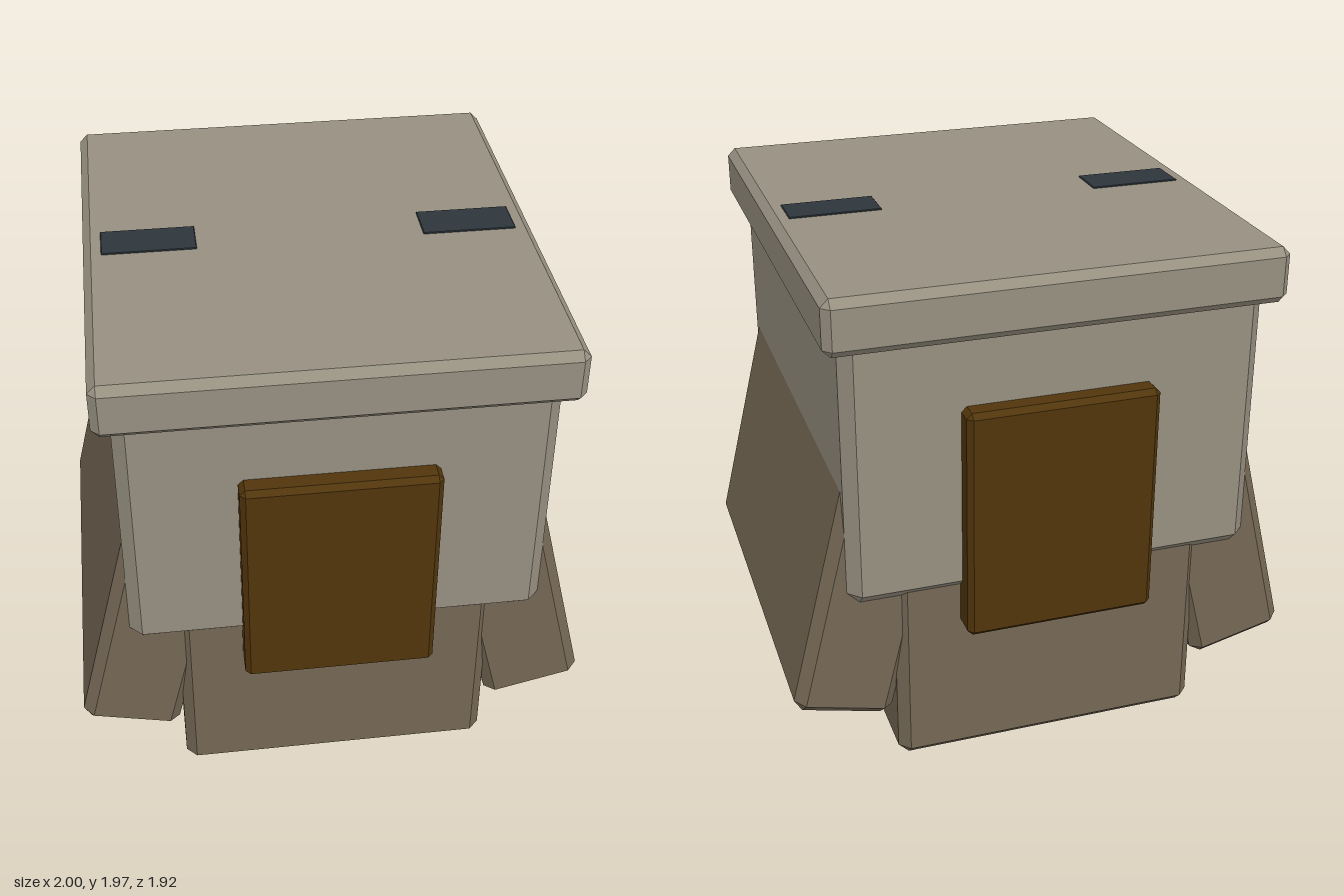
import * as THREE from 'three';
import { ConvexGeometry } from 'three/addons/geometries/ConvexGeometry.js';

const material = (name, color) => {
  const m = new THREE.MeshStandardMaterial({ color });
  m.name = name;
  return m;
};

// Box with flat chamfers on every edge
function chamferBox(w, h, d, c) {
  const points = [];
  for (const x of [-1, 1]) for (const y of [-1, 1]) for (const z of [-1, 1]) {
    for (let axis = 0; axis < 3; axis++) {
      const inset = [c, c, c];
      inset[axis] = 0;
      points.push(new THREE.Vector3(
        x * (w / 2 - inset[0]), y * (h / 2 - inset[1]), z * (d / 2 - inset[2])));
    }
  }
  return new ConvexGeometry(points);
}

export function createModel() {
  const model = new THREE.Group();
  model.name = 'chest';
  const stone = material('warm grey', 0x979081);
  const taupe = material('taupe', 0x756855);
  const brown = material('dark brown', 0x51350c);
  const slate = material('dark slate', 0x2d363c);

  const add = (name, mat, size, bevel, position) => {
    const mesh = new THREE.Mesh(chamferBox(...size, bevel), mat);
    mesh.name = name;
    mesh.position.set(...position);
    model.add(mesh);
    return mesh;
  };

  // Stacked core: base, body and overhanging lid
  add('base', taupe, [1.21, 0.9, 1.7], 0.04, [0, 0.45, 0]);
  add('body', stone, [1.574, 1.125, 1.76], 0.047, [0, 1.2975, 0]);
  add('lid', stone, [1.7, 0.21, 1.88], 0.03, [0, 1.855, 0]);

  // Front and back panels
  for (const s of [1, -1]) {
    add(s > 0 ? 'frontPanel' : 'backPanel', brown, [0.725, 0.91, 0.2], 0.02, [0, 1.035, s * 0.86]);
  }

  // Flared side flaps and the dark slots on the lid
  const tilt = 0.242;
  const out = 0.8535, up = 0.62; // flap centre measured along its own tilted axes
  for (const s of [1, -1]) {
    const side = s > 0 ? 'left' : 'right';
    const flap = add(side + 'Flap', taupe, [0.387, 1.17, 1.665], 0.04, [
      s * (out * Math.cos(tilt) - up * Math.sin(tilt)),
      out * Math.sin(tilt) + up * Math.cos(tilt), 0]);
    flap.rotation.z = s * tilt;
    add(side + 'Slot', slate, [0.355, 0.009, 0.165], 0.003, [s * 0.605, 1.9605, 0]);
  }
  return model;
}
